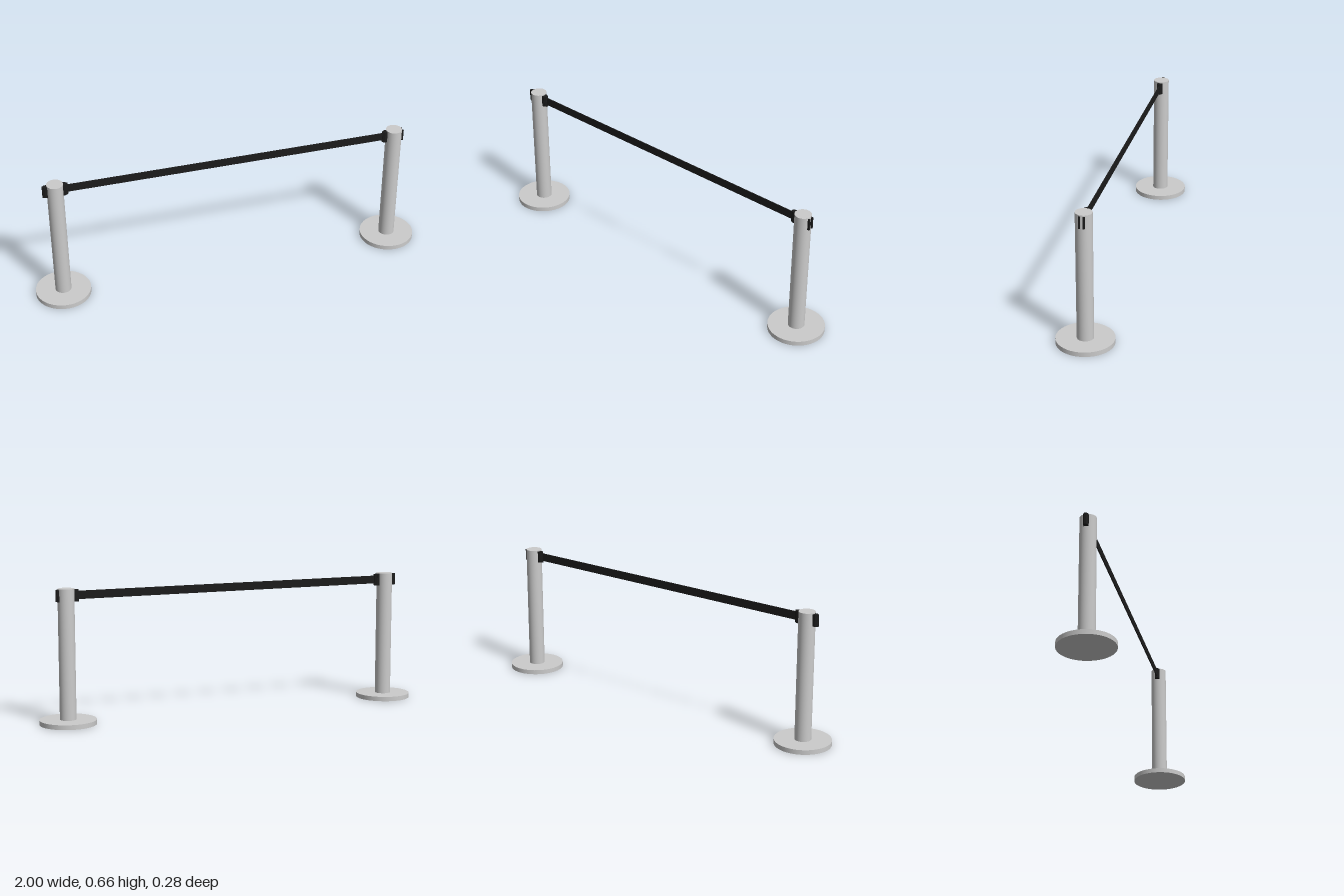
import * as THREE from 'three';

const POST_X = 0.862, POST_R = 0.04, BASE_R = 0.138, BASE_H = 0.023, TOP = 0.656;
const CLIP_Y = 0.593, CLIP_H = 0.058;

export function createModel() {
  const model = new THREE.Group();
  model.name = 'queueBarrier';
  const metal = new THREE.MeshStandardMaterial({ color: 0xcccccc });
  const black = new THREE.MeshStandardMaterial({ color: 0x1c1c1c });

  const add = (parent, name, geometry, material, x = 0, y = 0, z = 0) => {
    const mesh = new THREE.Mesh(geometry, material);
    mesh.name = name;
    mesh.position.set(x, y, z);
    parent.add(mesh);
    return mesh;
  };

  // Tapered belt clip: plan outline pulled upwards, narrow end towards +x
  const outline = new THREE.Shape([
    [0.036, -0.012], [0.050, -0.012], [0.062, -0.005],
    [0.062, 0.005], [0.050, 0.012], [0.036, 0.012],
  ].map(([x, z]) => new THREE.Vector2(x, z)));
  const clipGeometry = new THREE.ExtrudeGeometry(outline, { depth: CLIP_H, bevelEnabled: false });
  clipGeometry.rotateX(-Math.PI / 2);

  const addClip = (parent, name, direction) => {
    const clip = add(parent, name, clipGeometry, black, 0, CLIP_Y);
    if (direction < 0) clip.rotation.y = Math.PI;
  };

  for (const side of [-1, 1]) {
    const stand = new THREE.Group();
    stand.name = side < 0 ? 'rightStand' : 'leftStand';
    stand.position.x = side * POST_X;
    model.add(stand);

    add(stand, 'base', new THREE.CylinderGeometry(BASE_R, BASE_R, BASE_H, 48), metal, 0, BASE_H / 2);
    add(stand, 'post', new THREE.CylinderGeometry(POST_R, POST_R, TOP - BASE_H, 48),
      metal, 0, (TOP + BASE_H) / 2);

    // Belt end on one face, a pair of receiver rails on the opposite face
    addClip(stand, 'beltClip', -1);
    for (const z of [-0.0105, 0.0105]) {
      add(stand, 'receiverRail', new THREE.BoxGeometry(0.014, CLIP_H, 0.008), black,
        0.04, CLIP_Y + CLIP_H / 2, z);
    }
    // Clip plugged into the receiver by the stretched belt
    if (side < 0) addClip(stand, 'pluggedClip', 1);
  }

  // Stretched belt between the two clips
  add(model, 'belt', new THREE.BoxGeometry(2 * (POST_X - 0.055), 0.04, 0.005), black,
    0, CLIP_Y + CLIP_H / 2 + 0.001);

  return model;
}
